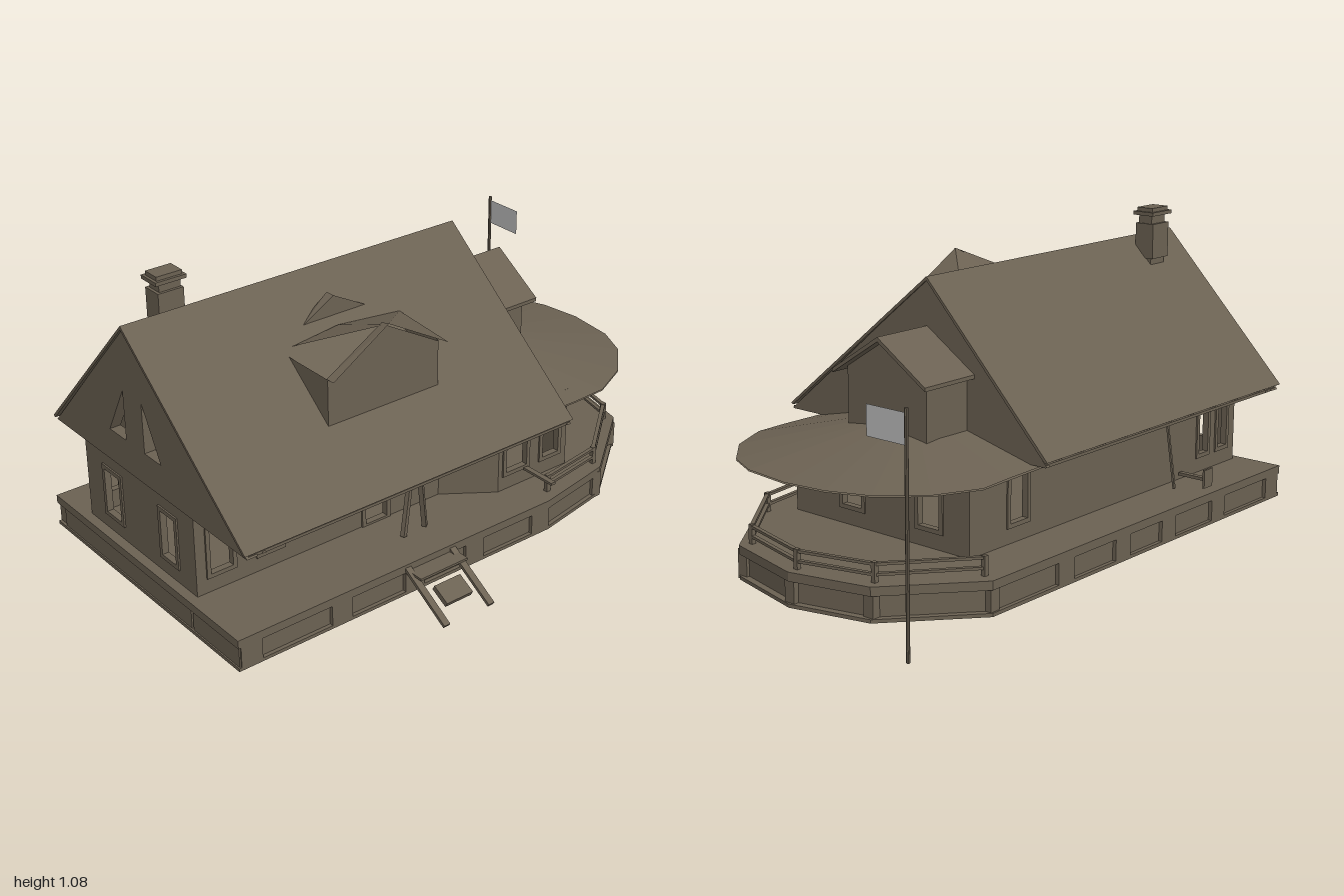
import * as THREE from 'three';

export function createModel() {
  const model = new THREE.Group();
  const timber = new THREE.MeshStandardMaterial({ color: 0x6b6152, flatShading: true, side: THREE.DoubleSide });
  timber.name = 'weatheredTimber';
  const cloth = new THREE.MeshStandardMaterial({ color: 0xbdbdbd, side: THREE.DoubleSide });
  cloth.name = 'paleCloth';

  const add = (name, geo, mat = timber, parent = model) => {
    const m = new THREE.Mesh(geo, mat);
    m.name = name;
    parent.add(m);
    return m;
  };
  // box given by its min and max corners
  const box = (name, x0, x1, y0, y1, z0, z1, mat) =>
    add(name, new THREE.BoxGeometry(x1 - x0, y1 - y0, z1 - z0), mat)
      .position.set((x0 + x1) / 2, (y0 + y1) / 2, (z0 + z1) / 2);
  const shapeOf = (pts) => new THREE.Shape(pts.map((p) => new THREE.Vector2(p[0], p[1])));
  const extrude = (shape, depth) => new THREE.ExtrudeGeometry(shape, { depth, bevelEnabled: false });
  // square beam between two points
  const beam = (name, a, b, w = 0.012, h = w) => {
    const p = new THREE.Vector3(...a), q = new THREE.Vector3(...b);
    const m = add(name, new THREE.BoxGeometry(w, h, p.distanceTo(q)));
    m.position.copy(p).add(q).multiplyScalar(0.5);
    m.lookAt(q);
  };
  // flat faces fanned out of corner lists
  const faces = (name, polys) => {
    const pos = [];
    for (const p of polys)
      for (let i = 1; i < p.length - 1; i++) pos.push(...p[0], ...p[i], ...p[i + 1]);
    const g = new THREE.BufferGeometry();
    g.setAttribute('position', new THREE.Float32BufferAttribute(pos, 3));
    g.computeVertexNormals();
    add(name, g);
  };

  // deck: rounded at the back, with a recessed skirt
  const outline = [[-0.65, 1], [0.455, 1], [0.455, -0.3], [0.4, -0.6], [0.17, -0.9],
    [-0.13, -0.97], [-0.41, -0.9], [-0.65, -0.62]];
  const slab = (name, top, depth, k) => {
    const pts = outline.map(([x, z]) => [(x + 0.1) * k - 0.1, z * k]);
    const g = extrude(shapeOf(pts), depth);
    g.rotateX(Math.PI / 2);
    g.translate(0, top, 0);
    add(name, g);
  };
  slab('deckFloor', 0.145, 0.03, 1);
  slab('deckSkirt', 0.12, 0.085, 0.975);
  slab('deckBase', 0.042, 0.012, 1);
  for (const z of [0.95, 0.6, 0.3, 0.04, -0.26]) {
    box('deckPost', 0.42, 0.455, 0.03, 0.13, z - 0.04, z + 0.04);
    box('deckPost', -0.65, -0.615, 0.03, 0.13, z - 0.04, z + 0.04);
  }
  for (const [x, z] of outline.slice(3))
    box('deckPost', x * 0.96 - 0.02, x * 0.96 + 0.02, 0.03, 0.13, z * 0.97 - 0.02, z * 0.97 + 0.02);
  box('frontPanel', -0.605, 0.185, 0.04, 0.115, 0.97, 0.995);
  box('frontPanel', 0.195, 0.45, 0.04, 0.115, 0.97, 0.995);

  // walls, with framed openings [start, end, bottom, top] measured along each wall
  const wall = (name, [ax, az], [bx, bz], openings = []) => {
    const len = Math.hypot(bx - ax, bz - az), g = new THREE.Group();
    g.name = name;
    const s = shapeOf([[0, 0.14], [len, 0.14], [len, 0.445], [0, 0.445]]);
    for (const [u, v, b, t] of openings) {
      const ring = (d) => [[u - d, b - d], [v + d, b - d], [v + d, t + d], [u - d, t + d]];
      s.holes.push(new THREE.Path(ring(0).map((p) => new THREE.Vector2(...p))));
      const f = shapeOf(ring(0.012));
      f.holes.push(new THREE.Path(ring(-0.003).map((p) => new THREE.Vector2(...p))));
      add('openingFrame', extrude(f, 0.024), timber, g).position.z = -0.018;
    }
    add('wallPanel', extrude(s, 0.015), timber, g).position.z = -0.015;
    g.position.set(ax, 0, az);
    g.rotation.y = -Math.atan2(bz - az, bx - ax);
    model.add(g);
  };
  wall('frontWall', [-0.47, 0.965], [0.18, 0.965], [[0.12, 0.215, 0.21, 0.38], [0.46, 0.545, 0.21, 0.38]]);
  wall('rightWall', [0.18, 0.965], [0.18, -0.03],
    [[0.05, 0.14, 0.21, 0.38], [0.24, 0.33, 0.21, 0.38], [0.67, 0.765, 0.15, 0.38]]);
  wall('angledWall', [0.18, -0.03], [0.3, -0.2]);
  wall('rightRearWall', [0.3, -0.2], [0.3, -0.52], [[0.03, 0.13, 0.21, 0.38], [0.2, 0.28, 0.21, 0.38]]);
  wall('rearWall', [0.3, -0.52], [-0.47, -0.52], [[0.22, 0.31, 0.21, 0.38], [0.555, 0.65, 0.21, 0.38]]);
  wall('leftWall', [-0.47, -0.52], [-0.47, 0.965],
    [[0.19, 0.28, 0.21, 0.38], [1.25, 1.31, 0.21, 0.38], [1.37, 1.43, 0.21, 0.38]]);

  // main roof, gables and soffit
  const roof = extrude(shapeOf([[-0.65, 0.455], [-0.152, 0.975], [0.485, 0.455], [0.476, 0.45],
    [-0.152, 0.962], [-0.64, 0.45]]), 1.345);
  roof.translate(0, 0, -0.365);
  add('mainRoof', roof);
  const tri = [[-0.645, 0.438], [0.48, 0.438], [-0.152, 0.965]];
  const gable = shapeOf(tri);
  gable.holes.push(shapeOf([[-0.285, 0.555], [-0.185, 0.555], [-0.185, 0.735]]));
  gable.holes.push(shapeOf([[-0.075, 0.735], [-0.075, 0.555], [0.02, 0.555]]));
  add('frontGable', extrude(gable, 0.04)).position.z = 0.93;
  add('gableWindowRecess', extrude(shapeOf(tri), 0.01)).position.z = 0.9;
  add('rearGable', extrude(shapeOf(tri), 0.015)).position.z = -0.36;
  box('soffit', -0.64, 0.475, 0.436, 0.446, -0.36, 0.96);

  // rounded back porch roof
  const rim = [[0.36, -0.2], [0.365, -0.5], [0.36, -0.63], [0.29, -0.78], [0.17, -0.9], [0.05, -0.955],
    [-0.13, -0.975], [-0.28, -0.955], [-0.42, -0.9], [-0.55, -0.78], [-0.62, -0.63], [-0.61, -0.5], [-0.6, -0.2]];
  const porch = [];
  for (let i = 0; i < rim.length - 1; i++) {
    const [a, b] = [rim[i], rim[i + 1]].map(([x, z]) => [x, 0.43, z]);
    porch.push([[-0.13, 0.545, -0.4], a, b]);
  }
  porch.push(rim.map(([x, z]) => [x, 0.425, z]).reverse());
  faces('porchRoof', porch);

  // back dormer
  const backDormer = extrude(shapeOf([[-0.32, 0.48], [0.02, 0.48], [0.02, 0.7], [-0.15, 0.8], [-0.32, 0.7]]), 0.2);
  backDormer.translate(0, 0, -0.55);
  add('backDormerBody', backDormer);
  const backCap = extrude(shapeOf([[-0.35, 0.685], [-0.15, 0.815], [0.05, 0.685], [0.05, 0.672],
    [-0.15, 0.8], [-0.35, 0.672]]), 0.24);
  backCap.translate(0, 0, -0.59);
  add('backDormerRoof', backCap);

  // side dormer with a partly open front slope
  const face = [[0.265, 0.635, 0.5], [0.265, 0.635, 0.05], [0.265, 0.795, 0.05], [0.265, 0.925, 0.28], [0.265, 0.795, 0.5]];
  faces('sideDormerBody', [face,
    [[0.06, 0.8, 0.5], [0.265, 0.635, 0.5], [0.265, 0.8, 0.5]],
    [[0.265, 0.635, 0.05], [0.06, 0.8, 0.05], [0.265, 0.8, 0.05]]]);
  const peak = [0.295, 0.937, 0.28], inner = [0.03, 0.835, 0.28];
  faces('sideDormerRoof', [
    [peak, [0.295, 0.795, 0.03], [0.04, 0.815, 0.03], inner],
    [peak, inner, [0.04, 0.82, 0.47]],
    [peak, [0.26, 0.93, 0.28], [0.26, 0.8, 0.5], [0.295, 0.8, 0.5]]]);
  faces('sideDormerTip', [
    [[-0.005, 0.85, 0.4], [-0.005, 0.85, 0.13], [-0.005, 0.925, 0.27]],
    [[-0.005, 0.85, 0.4], [-0.005, 0.925, 0.27], [-0.04, 0.925, 0.27], [-0.04, 0.88, 0.33]],
    [[-0.005, 0.925, 0.27], [-0.005, 0.85, 0.13], [-0.04, 0.88, 0.21], [-0.04, 0.925, 0.27]]]);

  // chimney
  box('chimneyShaft', -0.245, -0.19, 0.85, 1.06, 0.73, 0.81);
  box('chimneyCollar', -0.255, -0.18, 0.9, 1.025, 0.725, 0.82);
  box('chimneyCap', -0.26, -0.175, 1.055, 1.068, 0.715, 0.83);
  box('chimneyTop', -0.25, -0.185, 1.068, 1.082, 0.725, 0.82);

  // side steps
  for (const z of [0.14, 0.33]) beam('stepStringer', [0.45, 0.13, z], [0.65, 0.01, z], 0.024, 0.012);
  beam('stepTread', [0.535, 0.08, 0.235], [0.6, 0.045, 0.235], 0.11, 0.02);
  box('stepLanding', 0.44, 0.52, 0.113, 0.121, 0.13, 0.33);

  // porch railings
  const rail = [[0.4, -0.34], [0.36, -0.6], [0.15, -0.86], [-0.13, -0.93], [-0.39, -0.86], [-0.6, -0.6]];
  for (let i = 0; i < rail.length - 1; i++)
    for (const y of [0.17, 0.203])
      beam('porchRail', [rail[i][0], y, rail[i][1]], [rail[i + 1][0], y, rail[i + 1][1]], 0.014, 0.009);
  for (const [x, z] of rail) box('railPost', x - 0.008, x + 0.008, 0.14, 0.21, z - 0.008, z + 0.008);
  box('sideRail', 0.31, 0.45, 0.198, 0.207, -0.33, -0.31);
  box('leftRail', -0.6, -0.48, 0.164, 0.175, 0.6, 0.62);
  box('leftRailPost', -0.622, -0.614, 0.155, 0.22, 0.55, 0.6);

  // leaning porch boards
  beam('leaningBoard', [0.31, 0.15, 0.14], [0.35, 0.43, 0.2], 0.016);
  beam('leaningBoard', [0.32, 0.15, 0.24], [0.31, 0.38, 0.2], 0.016);
  beam('leaningBoard', [-0.53, 0.15, 0.5], [-0.485, 0.44, 0.5], 0.008);

  // flag on its pole
  add('flagPole', new THREE.CylinderGeometry(0.006, 0.006, 0.755, 8)).position.set(-0.65, 0.3775, -0.994);
  add('flag', new THREE.PlaneGeometry(0.15, 0.095), cloth).position.set(-0.57, 0.6925, -0.994);

  return model;
}
